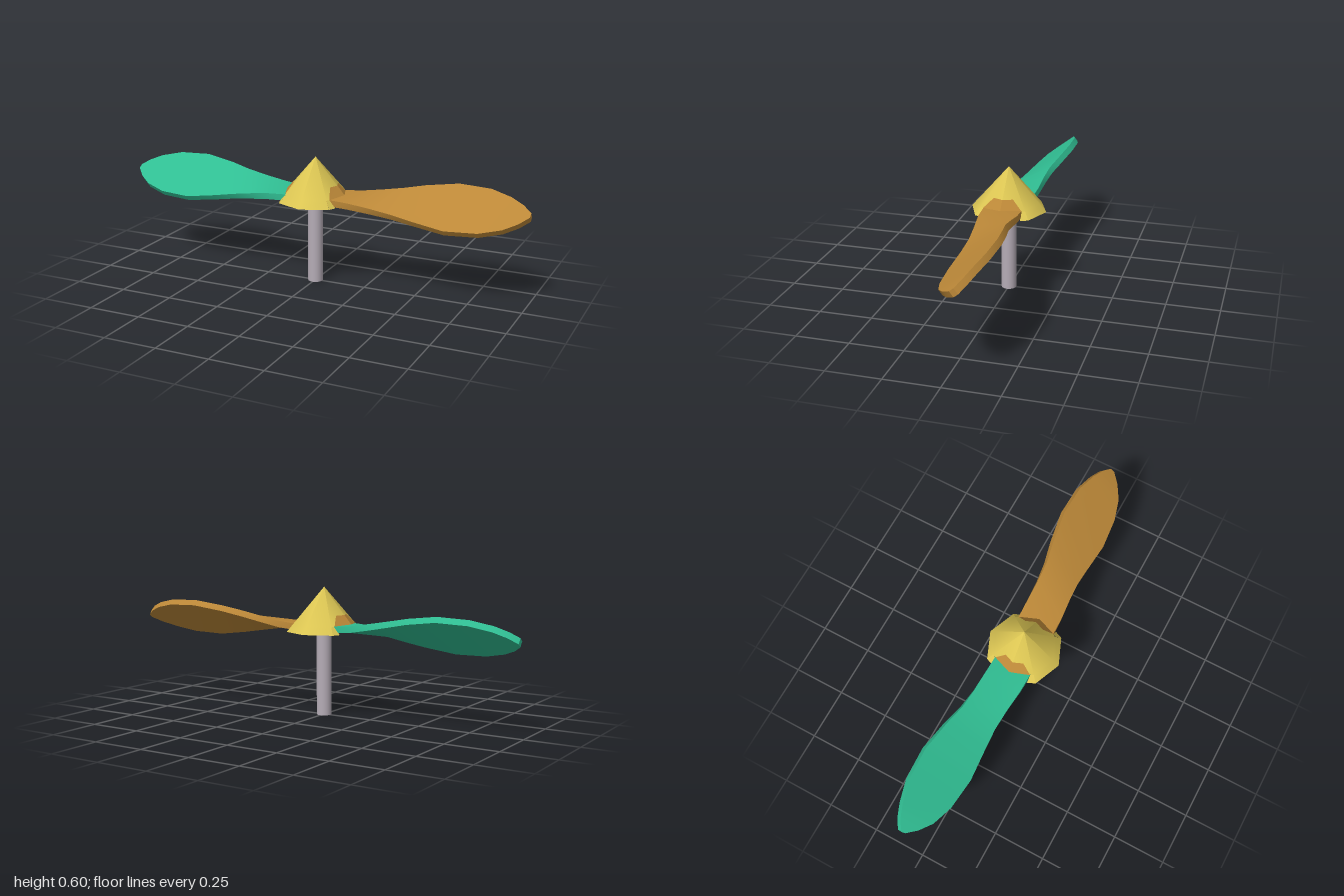
import * as THREE from 'three';

const mat = (name, color) => {
  const m = new THREE.MeshStandardMaterial({ color });
  m.name = name;
  return m;
};

// Builds a geometry from points and quads; flip reverses the winding for mirrored parts
function quadGeometry(points, quads, flip) {
  const g = new THREE.BufferGeometry();
  g.setAttribute('position', new THREE.Float32BufferAttribute(points.flat(), 3));
  g.setIndex(quads.flatMap(([a, b, c, d]) => flip ? [a, c, b, a, d, c] : [a, b, c, a, c, d]));
  g.computeVertexNormals();
  return g;
}

// Blade stations: x, centre z, half chord, pitch in degrees
const STATIONS = [
  [0.10, 0, 0.09, 0], [0.2, -0.004, 0.09, 5], [0.3, -0.012, 0.087, 16],
  [0.4, -0.021, 0.092, 27], [0.5, -0.03, 0.111, 33], [0.65, -0.037, 0.135, 37],
  [0.8, -0.042, 0.124, 38], [0.9, -0.045, 0.09, 38], [0.96, -0.054, 0.052, 38],
  [1.0, -0.062, 0.012, 38],
];

// Twisted slab: four strips along its length, smooth lengthwise with sharp edges
function bladeGeometry(side) {
  const corners = [[1, 1], [-1, 1], [-1, -1], [1, -1]];
  const sections = STATIONS.map(([x, zc, c, deg]) => {
    const a = THREE.MathUtils.degToRad(deg), t = 0.015;
    const yc = 0.414 + 0.008 * Math.min(1, x / 0.5);
    return corners.map(([u, v]) => [
      side * x,
      yc - u * c * Math.sin(a) + v * t * Math.cos(a),
      zc + u * c * Math.cos(a) + v * t * Math.sin(a),
    ]);
  });
  const points = [], quads = [];
  for (let k = 0; k < 4; k++) {
    const base = points.length;
    sections.forEach((s, i) => {
      points.push(s[k], s[(k + 1) % 4]);
      if (i) {
        const j = base + 2 * i;
        quads.push([j - 2, j, j + 1, j - 1]);
      }
    });
  }
  // Tip cap
  const n = points.length, tip = sections[sections.length - 1];
  points.push(tip[0], tip[3], tip[2], tip[1]);
  quads.push([n, n + 1, n + 2, n + 3]);
  return quadGeometry(points, quads, side < 0);
}

export function createModel() {
  const model = new THREE.Group();
  model.name = 'propeller';
  const yellow = mat('yellow', 0xdcc653);
  const brown = mat('brown', 0xbc8838);
  const green = mat('green', 0x30bd92);
  const grey = mat('grey', 0xb5acb6);
  const add = (name, geometry, material, parent = model) => {
    const mesh = new THREE.Mesh(geometry, material);
    mesh.name = name;
    parent.add(mesh);
    return mesh;
  };

  // Shaft
  add('shaft', new THREE.CylinderGeometry(0.035, 0.035, 0.42, 24), grey).position.y = 0.21;

  // Hub: eight-sided cone whose skirt is slotted for the blades
  const hub = new THREE.Group();
  hub.name = 'hub';
  model.add(hub);
  add('hubCone', new THREE.ConeGeometry(0.148, 0.172, 8, 1, true), yellow, hub).position.y = 0.516;
  for (const [name, start] of [['frontSkirt', -Math.PI / 4], ['backSkirt', Math.PI * 0.75]]) {
    add(name, new THREE.CylinderGeometry(0.148, 0.178, 0.035, 2, 1, true, start, Math.PI / 2),
      yellow, hub).position.y = 0.4125;
  }
  add('hubCore', new THREE.BoxGeometry(0.21, 0.033, 0.18), brown, hub).position.y = 0.413;

  for (const sx of [1, -1]) {
    for (const sz of [1, -1]) {
      const flip = sx * sz < 0;
      const p = (x, y, z) => [sx * x, y, sz * z];
      // Skirt end beside the slot
      add('skirtEnd', quadGeometry([
        p(0.126, 0.395, 0.126), p(0.141, 0.395, 0.09), p(0.111, 0.43, 0.09), p(0.105, 0.43, 0.105),
      ], [[0, 1, 2, 3]], flip), yellow, hub);
      // Slot wall
      add('slotWall', quadGeometry([
        p(0.1, 0.43, 0.0905), p(0.111, 0.43, 0.0905), p(0.141, 0.395, 0.0905), p(0.1, 0.395, 0.0905),
      ], [[0, 1, 2, 3]], flip), brown, hub);
      // Painted patch above the blade root, just proud of the cone
      add('rootPatch', quadGeometry([
        p(0.113, 0.431, 0.09), p(0.150, 0.431, 0), p(0.111, 0.476, 0), p(0.093, 0.476, 0.045),
      ], [[0, 1, 2, 3]], flip), brown, hub);
    }
  }

  // Slotted underside of the hub
  const quarter = [[0, 0.178], [0.126, 0.126], [0.141, 0.09], [0.1, 0.09]];
  const right = [...quarter, ...quarter.map(([x, z]) => [x, -z]).reverse()];
  const left = right.slice(1, -1).map(([x, z]) => [-x, z]).reverse();
  const outline = [...right, ...left].map(([x, z]) => new THREE.Vector2(x, z));
  const base = new THREE.ShapeGeometry(new THREE.Shape(outline));
  base.rotateX(Math.PI / 2);
  add('hubUnderside', base, brown, hub).position.y = 0.395;

  // Blades
  add('leftBlade', bladeGeometry(1), brown);
  add('rightBlade', bladeGeometry(-1), green);
  return model;
}
